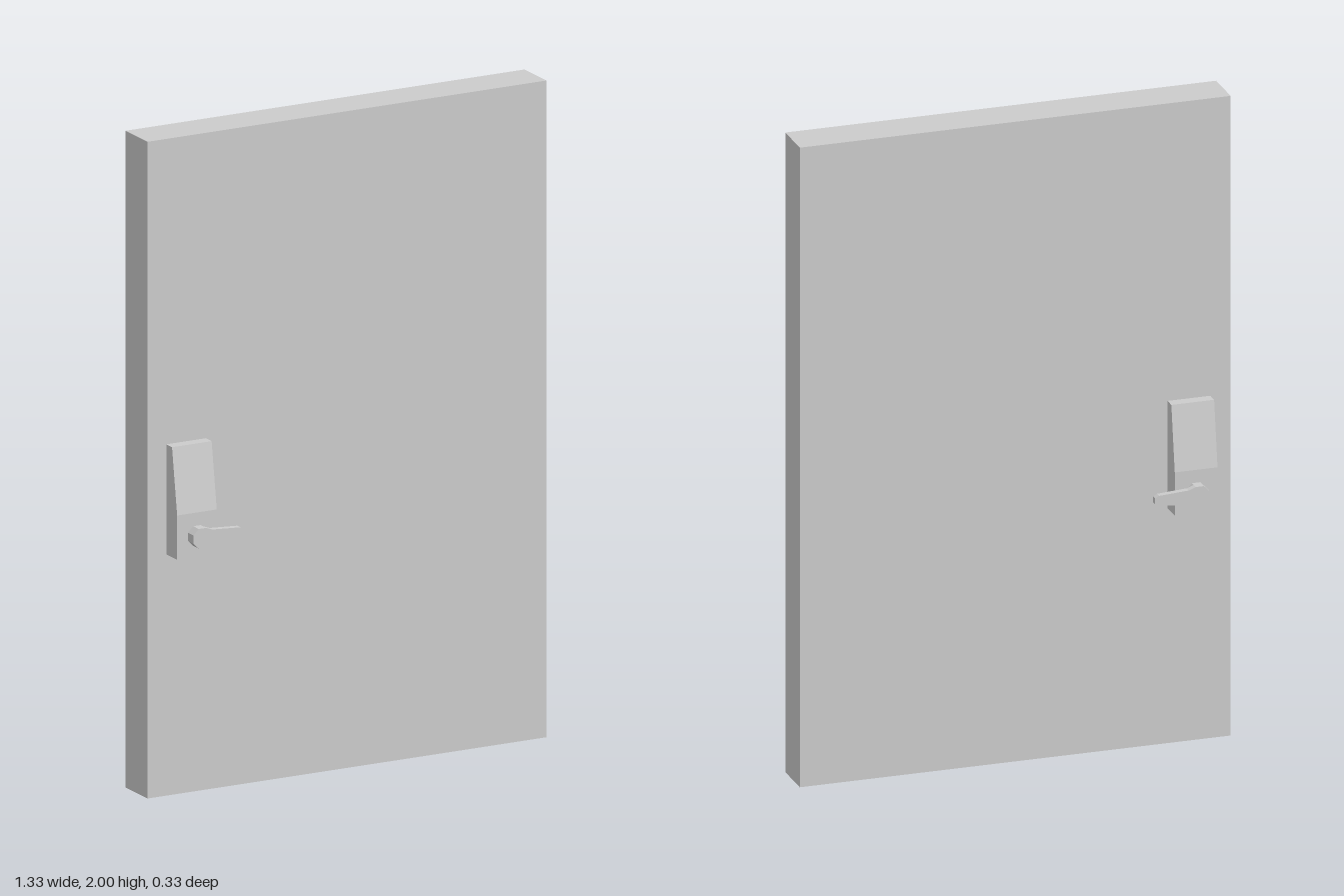
import * as THREE from 'three';

const material = new THREE.MeshStandardMaterial({ color: 0xcccccc, flatShading: true, side: THREE.DoubleSide });

function addMesh(parent, name, geometry) {
  const mesh = new THREE.Mesh(geometry, material);
  mesh.name = name;
  parent.add(mesh);
}

// Extrude a polygon given as [x, y] points, without bevels
function prism(points, depth) {
  const shape = new THREE.Shape(points.map(([x, y]) => new THREE.Vector2(x, y)));
  return new THREE.ExtrudeGeometry(shape, { depth, bevelEnabled: false });
}

// Drop the faces that point straight down, leaving a shell open below
function openBottom(geometry) {
  const source = geometry.index ? geometry.toNonIndexed() : geometry;
  const { position, normal } = source.attributes;
  const kept = [];
  for (let i = 0; i < position.count; i += 3) {
    if (normal.getY(i) < -0.9) continue;
    for (let k = i; k < i + 3; k++) kept.push(position.getX(k), position.getY(k), position.getZ(k));
  }
  const shell = new THREE.BufferGeometry();
  shell.setAttribute('position', new THREE.Float32BufferAttribute(kept, 3));
  shell.computeVertexNormals();
  return shell;
}

function createLock() {
  const lock = new THREE.Group();

  // Wedge housing: side profile in (z, y), extruded across x
  const housing = prism([[0.066, 0.735], [0.132, 0.735], [0.132, 0.87], [0.101, 1.07], [0.066, 1.07]], 0.132);
  housing.rotateY(-Math.PI / 2).translate(-0.47, 0, 0);
  addMesh(lock, 'lockHousing', openBottom(housing));

  // Octagonal boss between housing and lever
  const a = 0.03, b = 0.0125;
  const octagon = [[b, a], [-b, a], [-a, b], [-a, -b], [-b, -a], [b, -a], [a, -b], [a, b]];
  addMesh(lock, 'handleBoss', prism(octagon, 0.016).translate(-0.536, 0.8, 0.131));

  // Lever: rounded end over the boss, tapering to a blunt tip
  const upper = [[0.138, 0.009], [0.126, 0.016], [0.034, 0.022], [b, a], [-b, a], [-a, b]];
  const lower = upper.map(([x, y]) => [x, -y]).reverse();
  addMesh(lock, 'handleLever', prism([...upper, ...lower], 0.019).translate(-0.536, 0.8, 0.147));
  return lock;
}

export function createModel() {
  const model = new THREE.Group();
  model.name = 'door';

  // Door slab, open underneath
  addMesh(model, 'doorSlab', openBottom(new THREE.BoxGeometry(1.33, 2, 0.132).translate(0, 1, 0)));

  // The same lock and handle on both faces, mirrored through the slab
  for (const [name, side] of [['frontLock', 1], ['backLock', -1]]) {
    const lock = createLock();
    lock.name = name;
    lock.scale.z = side;
    model.add(lock);
  }
  return model;
}
